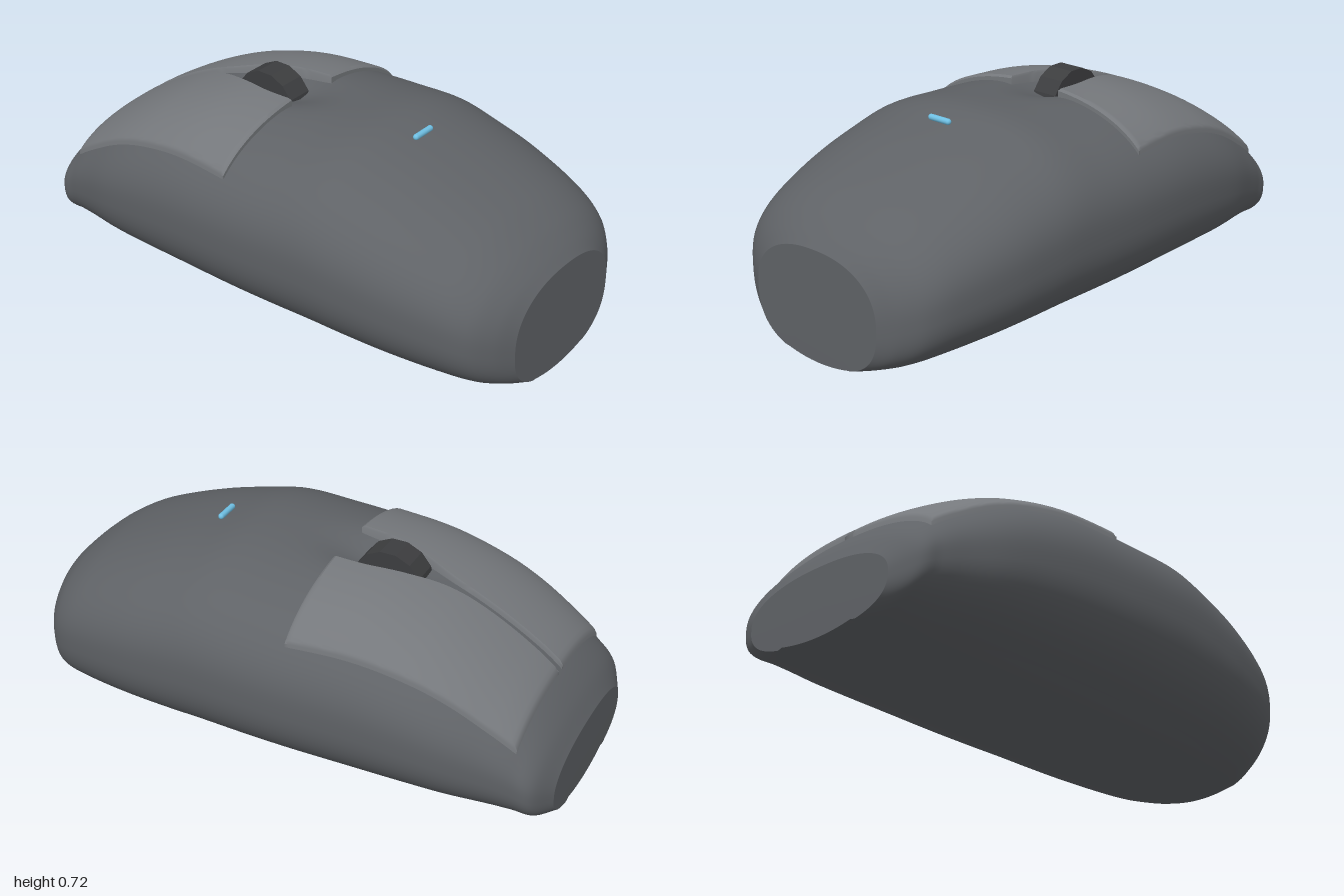
import * as THREE from 'three';
import { toCreasedNormals } from 'three/addons/utils/BufferGeometryUtils.js';

// Body stations along z: [z, half width, top height]
const STATIONS = [
  [-1, 0.32, 0.25], [-0.95, 0.41, 0.325], [-0.88, 0.435, 0.4], [-0.8, 0.458, 0.462],
  [-0.65, 0.5, 0.55], [-0.5, 0.523, 0.615], [-0.3, 0.54, 0.668], [-0.07, 0.549, 0.687],
  [0.1, 0.548, 0.697], [0.28, 0.541, 0.704], [0.42, 0.531, 0.674], [0.6, 0.508, 0.624],
  [0.8, 0.46, 0.55], [0.9, 0.415, 0.492], [0.96, 0.35, 0.442], [1, 0.28, 0.4],
];
const BUTTON_INNER = [[-0.88, 0.018], [-0.58, 0.018], [-0.46, 0.03], [-0.33, 0.07], [-0.2, 0.102], [-0.08, 0.11]];

// Smooth interpolation of column k in a table sorted by its first column
function sample(table, z, k) {
  const n = table.length - 1;
  let i = 0;
  while (i < n - 1 && z > table[i + 1][0]) i++;
  const slope = (j) => {
    const a = table[Math.max(j - 1, 0)], b = table[Math.min(j + 1, n)];
    return (b[k] - a[k]) / (b[0] - a[0]);
  };
  const a = table[i], b = table[i + 1], h = b[0] - a[0];
  const t = (z - a[0]) / h, t2 = t * t, t3 = t2 * t;
  return (2 * t3 - 3 * t2 + 1) * a[k] + (t3 - 2 * t2 + t) * h * slope(i)
    + (3 * t2 - 2 * t3) * b[k] + (t3 - t2) * h * slope(i + 1);
}

// Height of the upper shell above a point
function topHeight(x, z) {
  const s = Math.min(1, Math.abs(x) / sample(STATIONS, z, 1)), H = sample(STATIONS, z, 2);
  return H * (0.51 + 0.49 * Math.pow(1 - Math.pow(s, 2.3), 1 / 2.3));
}

// Height of the underside: round flanks down to a nearly flat base
function bottomHeight(x, z) {
  const s = Math.min(1, Math.abs(x) / sample(STATIONS, z, 1)), H = sample(STATIONS, z, 2);
  if (s < 0.55) return 0.02 * (s / 0.55) ** 2;
  return 0.51 * H * (1 - Math.pow(1 - Math.pow(s, 2.6), 1 / 2.6));
}

// Hollow around the scroll wheel
const hollow = (x, z) => 0.055 * Math.exp(-((x / 0.1) ** 2) - ((z + 0.2) / 0.17) ** 2);

function geometryFrom(positions, index) {
  const g = new THREE.BufferGeometry();
  g.setAttribute('position', new THREE.Float32BufferAttribute(positions, 3));
  g.setIndex(index);
  g.computeVertexNormals();
  return g;
}

// Closed shell lofted through the cross-sections, capped at both ends
function bodyGeometry() {
  const rows = 100, cols = 96, pos = [], index = [];
  for (let r = 0; r <= rows; r++) {
    const z = -Math.cos((r / rows) * Math.PI);
    const w = sample(STATIONS, z, 1);
    for (let c = 0; c < cols; c++) {
      const a = (c / cols) * Math.PI * 2;
      const x = w * Math.cos(a);
      const y = Math.sin(a) >= 0 ? topHeight(x, z) - hollow(x, z) * Math.sin(a) : bottomHeight(x, z);
      pos.push(x, y, z);
    }
  }
  for (let r = 0; r < rows; r++) {
    for (let c = 0; c < cols; c++) {
      const a = r * cols + c, b = r * cols + (c + 1) % cols;
      index.push(a, b, a + cols, b, b + cols, a + cols);
    }
  }
  const back = pos.length / 3;
  pos.push(0, 0.12, -1, 0, 0.2, 1);
  for (let c = 0; c < cols; c++) {
    const d = (c + 1) % cols, last = rows * cols;
    index.push(back, d, c, back + 1, last + c, last + d);
  }
  return geometryFrom(pos, index);
}

// Raised click plate that follows the shell, with rounded rim and skirt
function buttonGeometry(side) {
  const n = 36, pos = [], index = [];
  // Grid steps: skirt, rim, then even spacing
  const steps = [0, 0, 0.012, ...Array.from({ length: n - 1 }, (_, i) => (i + 1) / n), 0.988, 1, 1];
  const m = steps.length;
  const level = (i) => Math.min(i, m - 1 - i);
  for (let i = 0; i < m; i++) {
    const z = THREE.MathUtils.lerp(-0.88, -0.075, steps[i]);
    const outer = THREE.MathUtils.lerp(0.382, 0.475, Math.pow(steps[i], 0.8));
    const inner = sample(BUTTON_INNER, z, 1);
    for (let j = 0; j < m; j++) {
      const x = THREE.MathUtils.lerp(inner, outer, steps[j]);
      const lift = [-0.07, 0.014, 0.022][Math.min(2, level(i), level(j))];
      pos.push(side * x, topHeight(x, z) + lift, z);
    }
  }
  for (let i = 0; i < m - 1; i++) {
    for (let j = 0; j < m - 1; j++) {
      const a = i * m + j, b = a + 1, c = a + m, d = c + 1;
      if (side > 0) index.push(a, c, b, b, c, d);
      else index.push(a, b, c, b, d, c);
    }
  }
  return toCreasedNormals(geometryFrom(pos, index), 0.7);
}

export function createModel() {
  const model = new THREE.Group();
  model.name = 'computerMouse';
  const shell = new THREE.MeshStandardMaterial({ color: 0x5f6266 });
  const plate = new THREE.MeshStandardMaterial({ color: 0x75787c });
  const rubber = new THREE.MeshStandardMaterial({ color: 0x3c3d3f, flatShading: true });
  const light = new THREE.MeshStandardMaterial({ color: 0x6fc0e4 });

  const add = (name, geometry, material) => {
    const mesh = new THREE.Mesh(geometry, material);
    mesh.name = name;
    model.add(mesh);
    return mesh;
  };

  add('body', bodyGeometry(), shell);
  add('leftButton', buttonGeometry(1), plate);
  add('rightButton', buttonGeometry(-1), plate);

  // Scroll wheel sunk into the hollow
  const wheel = add('scrollWheel', new THREE.CylinderGeometry(0.132, 0.132, 0.1, 14), rubber);
  wheel.rotation.z = Math.PI / 2;
  wheel.position.set(0, 0.594, -0.25);

  // Indicator light lying across the palm rest
  const lamp = add('indicatorLight', new THREE.CapsuleGeometry(0.011, 0.078, 6, 12), light);
  lamp.rotation.z = Math.PI / 2;
  lamp.position.set(0, 0.69, 0.41);

  return model;
}
